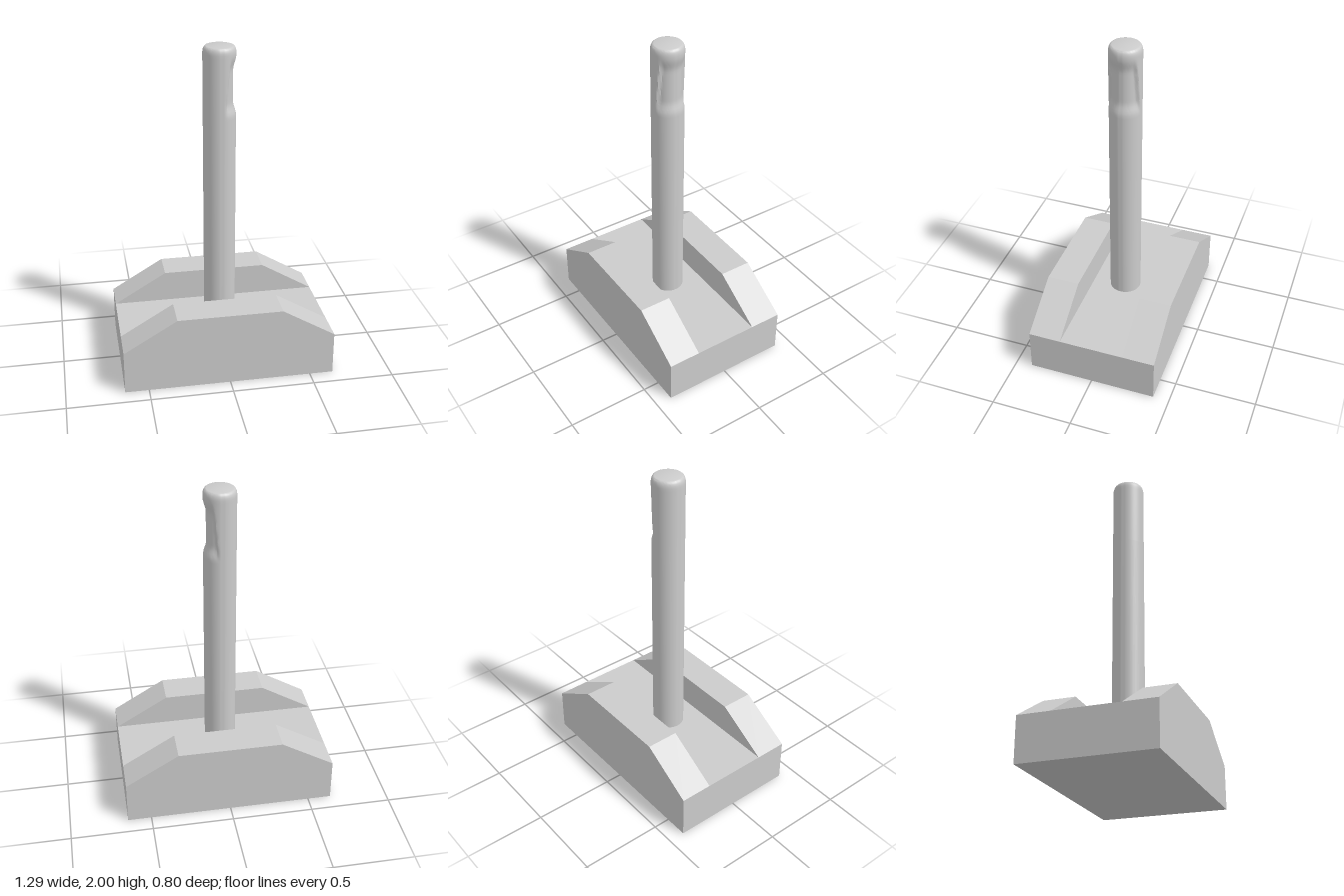
import * as THREE from 'three';
import { toCreasedNormals } from 'three/addons/utils/BufferGeometryUtils.js';

const R = 0.097, FLOOR = 0.27;
const smooth = THREE.MathUtils.smoothstep;

export function createModel() {
  const group = new THREE.Group();
  const material = new THREE.MeshStandardMaterial({ color: 0xcccccc });
  const add = (name, geometry) => {
    const mesh = new THREE.Mesh(geometry, material);
    mesh.name = name;
    group.add(mesh);
    return mesh;
  };

  // Base floor between the two cheeks
  add('baseFloor', new THREE.BoxGeometry(1.29, FLOOR, 0.4)).position.y = FLOOR / 2;

  // Side cheeks with sloping shoulders, running down to the ground
  const cheek = new THREE.Shape([
    [-0.645, 0], [0.645, 0], [0.645, FLOOR], [0.32, 0.465], [-0.32, 0.465], [-0.645, FLOOR],
  ].map(([x, y]) => new THREE.Vector2(x, y)));
  const cheekGeometry = new THREE.ExtrudeGeometry(cheek, { depth: 0.2, bevelEnabled: false });
  add('frontCheek', cheekGeometry).position.z = 0.2;
  add('backCheek', cheekGeometry).position.z = -0.4;

  // Post profile: straight shaft, finely divided grip, rounded top
  const profile = [new THREE.Vector2(R, FLOOR), new THREE.Vector2(R, 1.56)];
  for (let i = 1; i <= 24; i++) profile.push(new THREE.Vector2(R, 1.56 + i * 0.0167));
  for (let i = 1; i <= 5; i++) {
    const a = (i / 5) * Math.PI / 2;
    profile.push(new THREE.Vector2(R - 0.02 * (1 - Math.cos(a)), 1.961 + 0.039 * Math.sin(a)));
  }
  profile.push(new THREE.Vector2(0, 2));
  const post = new THREE.LatheGeometry(profile, 64);

  // Shallow grip recess on the +x side, a little wider towards its bottom
  const p = post.attributes.position;
  for (let i = 0; i < p.count; i++) {
    const x = p.getX(i), y = p.getY(i), z = p.getZ(i);
    const r = Math.hypot(x, z);
    if (r < 0.05) continue;
    const angle = Math.abs(Math.atan2(z, x));
    const edge = THREE.MathUtils.mapLinear(y, 1.7, 1.9, 1.3, 1.08);
    const depth = 0.018 * smooth(y, 1.59, 1.67) * (1 - smooth(y, 1.86, 1.95))
      * (1 - smooth(angle, edge - 0.2, edge));
    p.setX(i, x * (r - depth) / r);
    p.setZ(i, z * (r - depth) / r);
  }
  add('post', toCreasedNormals(post, 0.7));

  return group;
}
